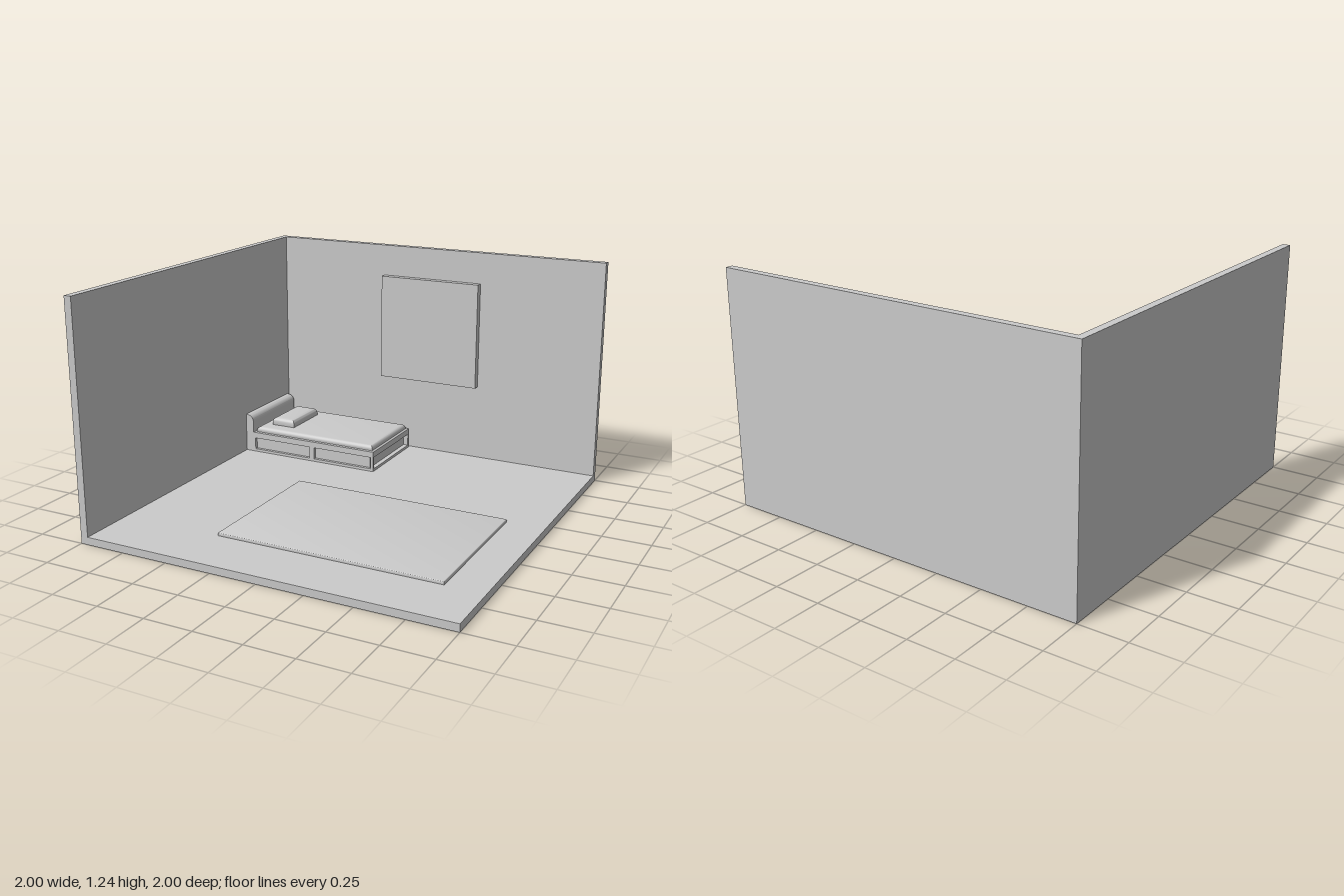
import * as THREE from 'three';
import { toCreasedNormals } from 'three/addons/utils/BufferGeometryUtils.js';

const material = new THREE.MeshStandardMaterial({ color: 0xcccccc });

function addMesh(parent, name, geometry) {
  const mesh = new THREE.Mesh(geometry, material);
  mesh.name = name;
  parent.add(mesh);
  return mesh;
}

// Box given by its lower and upper limits on each axis
function addBox(parent, name, [x0, x1], [y0, y1], [z0, z1]) {
  const mesh = addMesh(parent, name, new THREE.BoxGeometry(x1 - x0, y1 - y0, z1 - z0));
  mesh.position.set((x0 + x1) / 2, (y0 + y1) / 2, (z0 + z1) / 2);
  return mesh;
}

// Slab with rounded upper edges and mitred corners; its lower bevel sinks into the support
function addSlab(parent, name, [x0, x1], [y0, y1], [z0, z1], r) {
  const w = (x1 - x0) / 2 - r, d = (z1 - z0) / 2 - r;
  const shape = new THREE.Shape();
  shape.moveTo(-w, -d).lineTo(w, -d).lineTo(w, d).lineTo(-w, d).closePath();
  const geometry = new THREE.ExtrudeGeometry(shape, {
    depth: y1 - y0 - r, bevelThickness: r, bevelSize: r, bevelSegments: 6,
  });
  geometry.rotateX(-Math.PI / 2);
  const mesh = addMesh(parent, name, toCreasedNormals(geometry, 0.6));
  mesh.position.set((x0 + x1) / 2, y0, (z0 + z1) / 2);
  return mesh;
}

function createBed() {
  const bed = new THREE.Group();
  bed.name = 'bed';
  const x = [-0.96, -0.125], z = [-0.94, -0.46];
  const opening = [0.055, 0.122];

  // Solid core behind the recessed drawer fronts, with rails above and below
  addBox(bed, 'bedCore', [x[0], -0.152], opening, [z[0], -0.478]);
  addBox(bed, 'bottomRail', x, [0.04, opening[0]], z);
  addBox(bed, 'topRail', x, [opening[1], 0.156], z);

  // Posts dividing the openings
  for (const [x0, x1] of [[x[0], -0.9], [-0.535, -0.505]]) {
    addBox(bed, 'sidePost', [x0, x1], opening, [-0.478, z[1]]);
  }
  addBox(bed, 'frontCornerPost', [-0.14, x[1]], opening, [-0.472, z[1]]);
  addBox(bed, 'backCornerPost', [-0.152, x[1]], opening, [z[0], -0.928]);

  // Headboard with a rounded front top edge
  const r = 0.04, top = 0.26, front = -0.912;
  const profile = new THREE.Shape();
  profile.moveTo(x[0], 0.04).lineTo(front, 0.04).lineTo(front, top - r);
  profile.absarc(front - r, top - r, r, 0, Math.PI / 2, false);
  profile.lineTo(x[0], top).closePath();
  const board = new THREE.ExtrudeGeometry(profile, {
    depth: z[1] - z[0], bevelEnabled: false, curveSegments: 10,
  });
  addMesh(bed, 'headboard', toCreasedNormals(board, 0.6)).position.z = z[0];

  addSlab(bed, 'mattress', [-0.9, -0.14], [0.156, 0.186], [-0.925, -0.48], 0.022);
  addSlab(bed, 'pillow', [-0.838, -0.695], [0.186, 0.23], [-0.845, -0.56], 0.025);
  return bed;
}

export function createModel() {
  const room = new THREE.Group();
  room.name = 'bedroom';

  // Room shell
  addBox(room, 'floor', [-1, 1], [0, 0.04], [-1, 1]);
  addBox(room, 'sideWall', [-1, -0.96], [0.04, 1.24], [-1, 1]);
  addBox(room, 'backWall', [-0.96, 1], [0.04, 1.24], [-1, -0.96]);

  // Furnishings
  addBox(room, 'wallPanel', [-0.3, 0.295], [0.465, 1.065], [-0.96, -0.92]);
  addSlab(room, 'rug', [-0.405, 0.798], [0.04, 0.057], [-0.115, 0.692], 0.006);
  room.add(createBed());
  return room;
}
